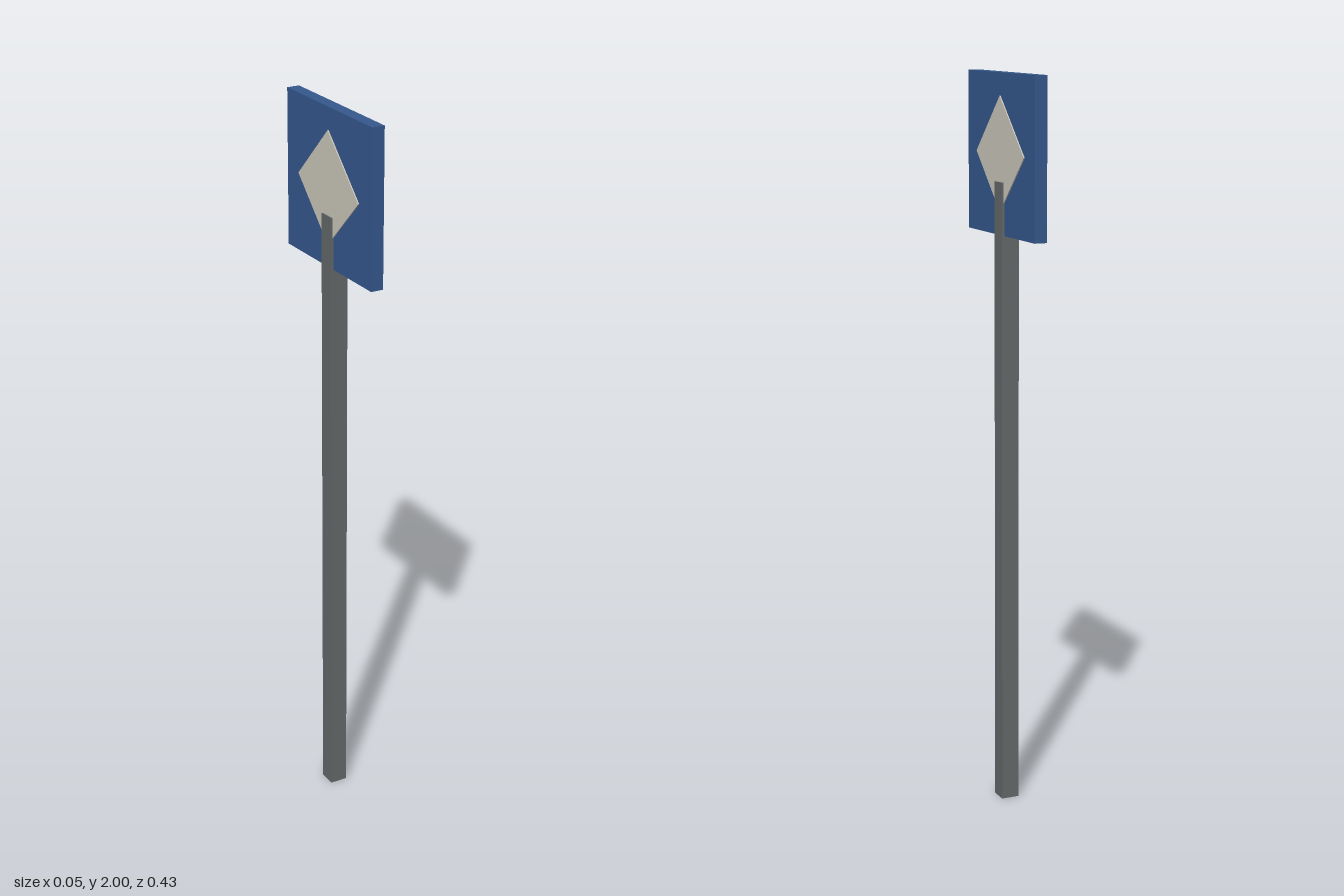
import * as THREE from 'three';

function material(name, color) {
  const m = new THREE.MeshStandardMaterial({ color });
  m.name = name;
  return m;
}

export function createModel() {
  const group = new THREE.Group();
  group.name = 'signpost';
  const grey = material('post grey', 0x646868);
  const blue = material('sign blue', 0x34578c);
  const cream = material('diamond cream', 0xcac6ba);

  function box(name, size, position, mat) {
    const mesh = new THREE.Mesh(new THREE.BoxGeometry(...size), mat);
    mesh.name = name;
    mesh.position.set(...position);
    group.add(mesh);
    return mesh;
  }

  // Square post, its top overlapping the lower part of the panel
  box('post', [0.049, 1.715, 0.049], [0, 0.8575, 0], grey);

  // Square sign panel facing both sides
  box('signPanel', [0.035, 0.426, 0.426], [0, 1.787, 0], blue);

  // Thin diamond on each face of the panel
  for (const [side, name] of [[1, 'leftDiamond'], [-1, 'rightDiamond']]) {
    const diamond = box(name, [0.006, 0.215, 0.215], [side * 0.0175, 1.788, 0], cream);
    diamond.rotation.x = Math.PI / 4;
  }

  return group;
}
